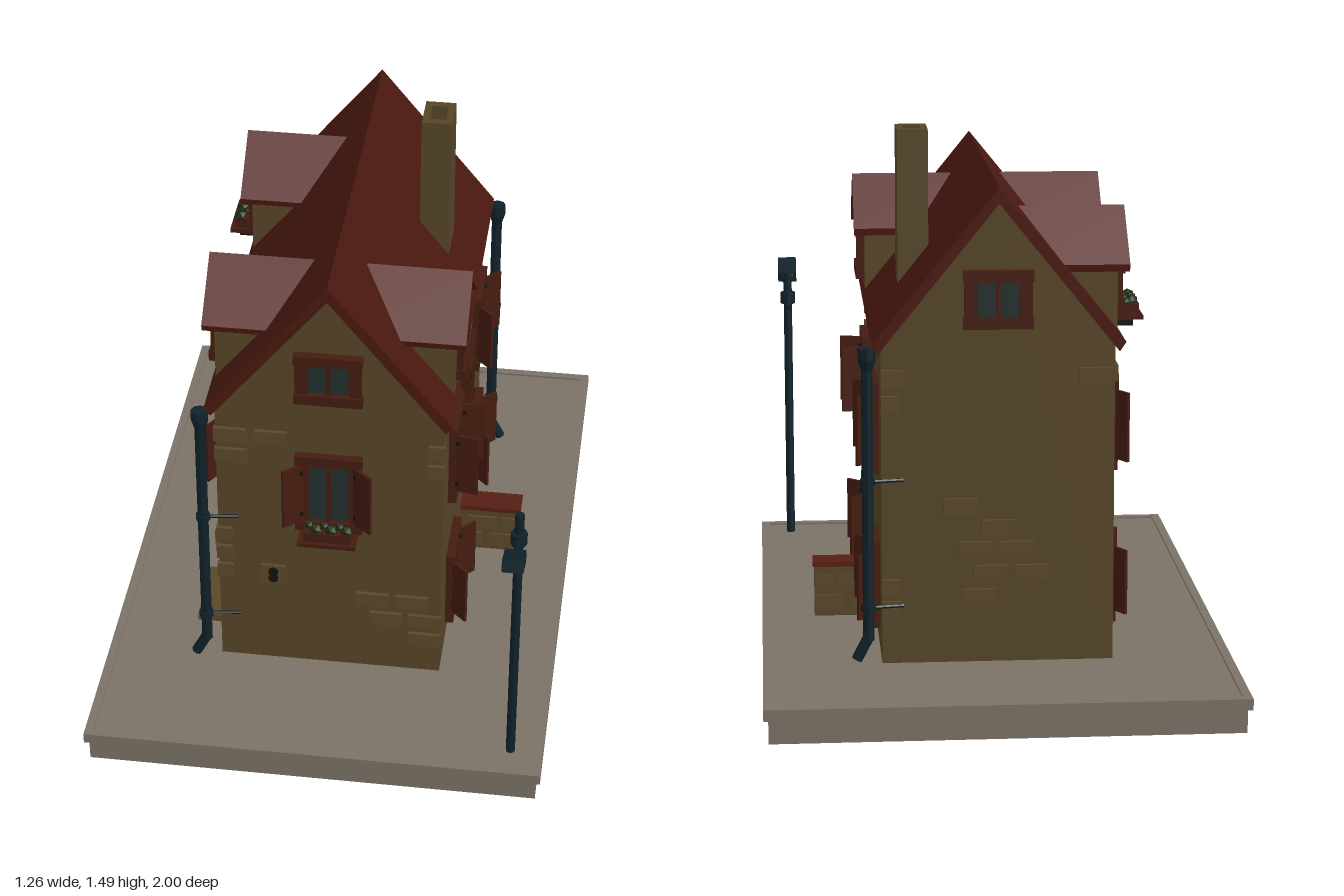
import * as THREE from 'three';

const mat = (color) => new THREE.MeshStandardMaterial({ color, flatShading: true });
const M = {
  wall: mat(0x564527), stone: mat(0x5a482a), roof: mat(0x49180f), dormerRoof: mat(0x561d13),
  wood: mat(0x451c10), glass: mat(0x22302f), metal: mat(0x10222a), slab: mat(0x7b7266),
  leaf: mat(0x1c2a10), dark: mat(0x15120d),
};

function add(parent, name, geo, material, x = 0, y = 0, z = 0) {
  const m = new THREE.Mesh(geo, material);
  m.name = name;
  m.position.set(x, y, z);
  parent.add(m);
  return m;
}
const box = (parent, name, material, w, h, d, x, y, z) =>
  add(parent, name, new THREE.BoxGeometry(w, h, d), material, x, y, z);

// Extruded polygon running from z0 to z1
function prism(parent, name, material, pts, z0, z1) {
  const shape = new THREE.Shape(pts.map(([x, y]) => new THREE.Vector2(x, y)));
  const geo = new THREE.ExtrudeGeometry(shape, { depth: z1 - z0, bevelEnabled: false });
  return add(parent, name, geo, material, 0, 0, z0);
}

// Cylinder between two points
function rod(parent, name, material, a, b, r0, r1 = r0, sides = 8) {
  const A = new THREE.Vector3(...a), B = new THREE.Vector3(...b), d = B.clone().sub(A);
  const m = add(parent, name, new THREE.CylinderGeometry(r1, r0, d.length(), sides), material);
  m.position.copy(A).add(B).multiplyScalar(0.5);
  m.quaternion.setFromUnitVectors(new THREE.Vector3(0, 1, 0), d.normalize());
  return m;
}

// Group whose local +z points out of a wall
function face(parent, name, x, y, z, angle) {
  const g = new THREE.Group();
  g.name = name;
  g.position.set(x, y, z);
  g.rotation.y = angle;
  parent.add(g);
  return g;
}

// Framed window; open = shutter swing from closed, null for no shutters
function windowUnit(parent, h, open = null, x = 0, y = 0, z = 0) {
  const g = face(parent, 'window', x, y, z, 0), w = 0.185, t = 0.03;
  box(g, 'glass', M.glass, w - t, h - t, 0.008, 0, 0, 0.004);
  for (const s of [-1, 1]) {
    box(g, 'frameRail', M.wood, w, t, 0.024, 0, s * (h - t) / 2, 0.012);
    box(g, 'frameStile', M.wood, t, h - 2 * t, 0.018, s * (w - t) / 2 - s * 0.003, 0, 0.009);
    box(g, 'sashStile', M.wood, 0.007, h - 2 * t, 0.012, s * 0.058, 0, 0.006);
    if (open === null) continue;
    const hinge = face(g, 'shutter', s * 0.068, 0, 0.018, s * open);
    const sw = 0.065, sh = h - 2 * t;
    box(hinge, 'shutterPanel', M.wood, sw, sh, 0.008, -s * sw / 2, 0, 0.004);
    for (const v of [-1, 1])
      box(hinge, 'shutterHinge', M.dark, 0.01, 0.012, 0.012, -s * 0.007, v * sh * 0.36, 0.004);
  }
  box(g, 'mullion', M.wood, 0.012, h - 2 * t, 0.014, 0, 0, 0.007);
  return g;
}

// Planter on a shelf with rounded foliage
function flowerBox(parent, x, y, z) {
  const g = face(parent, 'flowerBox', x, y, z, 0);
  box(g, 'shelf', M.wood, 0.16, 0.012, 0.075, 0, 0, 0.0375);
  box(g, 'planter', M.wood, 0.13, 0.03, 0.05, 0, 0.02, 0.04);
  for (const s of [-1, 1]) box(g, 'shelfBracket', M.dark, 0.01, 0.02, 0.05, s * 0.055, -0.015, 0.025);
  for (let i = 0; i < 6; i++)
    add(g, 'foliage', new THREE.IcosahedronGeometry(0.014 + 0.004 * (i % 2), 0), M.leaf,
      -0.052 + i * 0.021, 0.038, 0.04 + 0.008 * (i % 2 ? 1 : -1));
}

// Raised stones: list of [x, y, width]
const stones = (parent, list) => list.forEach(([x, y, w = 0.09]) =>
  box(parent, 'wallStone', M.stone, w, 0.044, 0.016, x, y, 0.003));

function dormer(parent, x, planter) {
  const g = face(parent, 'dormer', x, 0, 0, 0);
  // local z = distance outward from the ridge line
  prism(g, 'dormerWall', M.wall, [[-0.128, 0.96], [0.128, 0.96], [0.128, 1.145], [0, 1.262], [-0.128, 1.145]], 0.06, 0.325);
  prism(g, 'dormerRoof', M.dormerRoof,
    [[0, 1.292], [-0.152, 1.155], [-0.145, 1.135], [0, 1.262], [0.145, 1.135], [0.152, 1.155]], 0.04, 0.355);
  windowUnit(g, 0.15, null, 0, 1.075, 0.325);
  if (planter) flowerBox(g, 0, 0.998, 0.325);
}

function downpipe(parent, name, x, z, angle) {
  const g = face(parent, name, x, 0, z, angle);
  rod(g, 'pipe', M.metal, [0, 0.16, 0], [0, 0.93, 0], 0.015);
  rod(g, 'spout', M.metal, [0, 0.17, 0], [-0.032, 0.108, 0], 0.015);
  rod(g, 'hopperCone', M.metal, [0, 0.895, 0], [0, 0.925, 0], 0.015, 0.024);
  rod(g, 'hopper', M.metal, [0, 0.925, 0], [0, 0.955, 0], 0.024);
  for (const y of [0.25, 0.595]) {
    rod(g, 'pipeCollar', M.metal, [0, y - 0.009, 0], [0, y + 0.009, 0], 0.02);
    rod(g, 'pipeBracket', M.metal, [0, y, 0], [0.095, y, -0.014], 0.005, 0.005, 6);
  }
}

export function createModel() {
  const model = new THREE.Group();
  model.name = 'townHouse';

  // Paved base with a raised rim
  box(model, 'baseFooting', M.slab, 1.235, 0.066, 1.855, 0, 0.033, -0.06);
  box(model, 'basePaving', M.slab, 1.26, 0.024, 1.88, 0, 0.077, -0.06);
  for (const s of [-1, 1]) {
    box(model, 'baseRim', M.slab, 0.024, 0.03, 1.88, s * 0.618, 0.08, -0.06);
    box(model, 'baseRim', M.slab, 1.212, 0.03, 0.024, 0, 0.08, -0.06 + s * 0.928);
  }

  // Main body and pitched roof
  prism(model, 'houseWalls', M.wall, [[-0.31, 0.085], [0.31, 0.085], [0.31, 0.95], [0, 1.337], [-0.31, 0.95]], -0.605, 0.48);
  prism(model, 'mainRoof', M.roof,
    [[0, 1.378], [-0.335, 0.965], [-0.318, 0.94], [0, 1.335], [0.318, 0.94], [0.335, 0.965]], -0.64, 0.505);

  // Front wall
  const front = face(model, 'frontWall', 0, 0, 0.48, 0);
  windowUnit(front, 0.25, 2.45, 0, 0.7, 0);
  windowUnit(front, 0.155, null, 0, 1.078, 0);
  flowerBox(front, 0, 0.563, 0);
  stones(front, [[-0.27, 0.868], [-0.16, 0.868], [-0.268, 0.8], [-0.292, 0.525, 0.045], [-0.292, 0.462, 0.045],
    [-0.292, 0.398, 0.045], [0.12, 0.333], [0.23, 0.333], [0.158, 0.268], [0.267, 0.268], [0.267, 0.203],
    [0.293, 0.86, 0.045], [0.293, 0.795, 0.045]]);
  box(front, 'ventPlate', M.wood, 0.07, 0.06, 0.012, -0.157, 0.397, 0.004).material = M.stone;
  for (const s of [-1, 1]) {
    const hole = add(front, 'ventHole', new THREE.CylinderGeometry(0.014, 0.014, 0.006, 10), M.dark, -0.157, 0.397 + s * 0.011, 0.011);
    hole.rotation.x = Math.PI / 2;
  }

  // Back wall
  const back = face(model, 'backWall', 0, 0, -0.605, Math.PI);
  windowUnit(back, 0.155, null, 0, 1.078, 0);
  stones(back, [[-0.1, 0.52], [0.0, 0.46], [-0.06, 0.4], [0.05, 0.4], [-0.02, 0.335], [0.09, 0.335], [-0.05, 0.27],
    [0.26, 0.87], [-0.28, 0.87, 0.06], [-0.285, 0.8, 0.05], [-0.285, 0.3, 0.05], [-0.285, 0.24, 0.05]]);

  // Right-hand wall: local x = -z
  const east = face(model, 'eastWall', 0.31, 0, 0, Math.PI / 2);
  windowUnit(east, 0.25, 1.75, -0.243, 0.705, 0);
  windowUnit(east, 0.25, 0, 0.062, 0.705, 0);
  windowUnit(east, 0.25, 2.35, 0.39, 0.705, 0);
  windowUnit(east, 0.24, 2.35, -0.247, 0.27, 0);
  windowUnit(east, 0.24, 2.35, 0.39, 0.27, 0);

  // Left-hand wall: local x = z
  const west = face(model, 'westWall', -0.31, 0, 0, -Math.PI / 2);
  for (const x of [-0.39, -0.062, 0.243]) windowUnit(west, 0.25, 2.6, x, 0.705, 0);
  windowUnit(west, 0.24, 2.6, -0.375, 0.27, 0);
  stones(west, [[-0.16, 0.47], [-0.05, 0.47], [-0.11, 0.405], [0.0, 0.405], [-0.06, 0.34], [0.05, 0.34],
    [-0.28, 0.49], [-0.54, 0.87], [0.43, 0.5], [-0.03, 0.275]]);
  // Door, frame and step
  const door = face(west, 'door', 0.243, 0, 0, 0);
  box(door, 'doorLeaf', M.wood, 0.13, 0.25, 0.01, 0, 0.22, 0.005);
  for (const s of [-1, 1]) box(door, 'doorJamb', M.wood, 0.026, 0.26, 0.024, s * 0.075, 0.22, 0.012);
  box(door, 'doorLintel', M.wood, 0.2, 0.03, 0.034, 0, 0.36, 0.017);
  for (const y of [0.17, 0.28]) box(door, 'doorPanel', M.wood, 0.08, 0.08, 0.006, 0, y, 0.012);
  box(door, 'doorHandle', M.metal, 0.01, 0.01, 0.014, 0.05, 0.22, 0.016);
  box(door, 'doorStep', M.stone, 0.215, 0.022, 0.095, 0, 0.1, 0.045);

  // Dormers
  for (const [angle, z, planter] of [[Math.PI / 2, 0.243, false], [-Math.PI / 2, 0.243, false], [-Math.PI / 2, -0.395, true]]) {
    const side = face(model, 'dormerSide', 0, 0, z, angle);
    dormer(side, 0, planter);
  }

  // Tapered hollow chimney
  const profile = (w, d) => {
    const p = new THREE.Path();
    p.moveTo(-w, -d).lineTo(w, -d).lineTo(w, d).lineTo(-w, d).lineTo(-w, -d);
    return p;
  };
  const stack = new THREE.Shape(profile(0.042, 0.07).getPoints());
  stack.holes.push(profile(0.023, 0.042));
  const stackGeo = new THREE.ExtrudeGeometry(stack, { depth: 0.44, bevelEnabled: false });
  const p = stackGeo.attributes.position;
  for (let i = 0; i < p.count; i++) if (p.getZ(i) > 0.2) p.setY(i, p.getY(i) * 0.83);
  stackGeo.rotateX(-Math.PI / 2);
  stackGeo.computeVertexNormals();
  add(model, 'chimney', stackGeo, M.wall, 0.208, 1.047, -0.235);
  box(model, 'chimneyFlue', M.dark, 0.05, 0.02, 0.09, 0.208, 1.4, -0.235);

  // Low garden wall with a tiled coping
  const low = face(model, 'gardenWall', 0.395, 0, -0.117, 0);
  box(low, 'gardenWallBody', M.wall, 0.175, 0.15, 0.062, 0, 0.16, 0);
  box(low, 'gardenWallCoping', M.dormerRoof, 0.18, 0.014, 0.076, 0.002, 0.24, 0);
  for (const [x, y, w] of [[-0.02, 0.187, 0.09], [0.045, 0.127, 0.085], [0.062, 0.187, 0.05], [-0.05, 0.127, 0.06]])
    box(low, 'wallStone', M.stone, w, 0.046, 0.074, x, y, 0);

  // Drainpipes at opposite corners
  downpipe(model, 'frontDownpipe', -0.347, 0.505, 0);
  downpipe(model, 'backDownpipe', 0.347, -0.625, Math.PI);

  // Street lamp
  const lamp = face(model, 'streetLamp', 0.54, 0, 0.78, 0);
  rod(lamp, 'lampPost', M.metal, [0, 0.085, 0], [0, 0.91, 0], 0.0125);
  rod(lamp, 'lampCollar', M.metal, [0, 0.815, 0], [0, 0.85, 0], 0.022);
  rod(lamp, 'lampArm', M.metal, [0, 0.81, -0.055], [0, 0.862, 0.1], 0.007, 0.007, 6);
  const head = face(lamp, 'lampHead', 0, 0.886, 0.155, 0);
  head.rotation.x = -0.36;
  rod(head, 'lampNeck', M.metal, [0, 0, -0.067], [0, 0, -0.035], 0.012, 0.026, 8).scale.z = 0.65;
  box(head, 'lampHousing', M.metal, 0.056, 0.032, 0.095, 0, 0, 0.013);
  box(head, 'lampLens', M.glass, 0.04, 0.008, 0.075, 0, -0.016, 0.013);

  return model;
}
